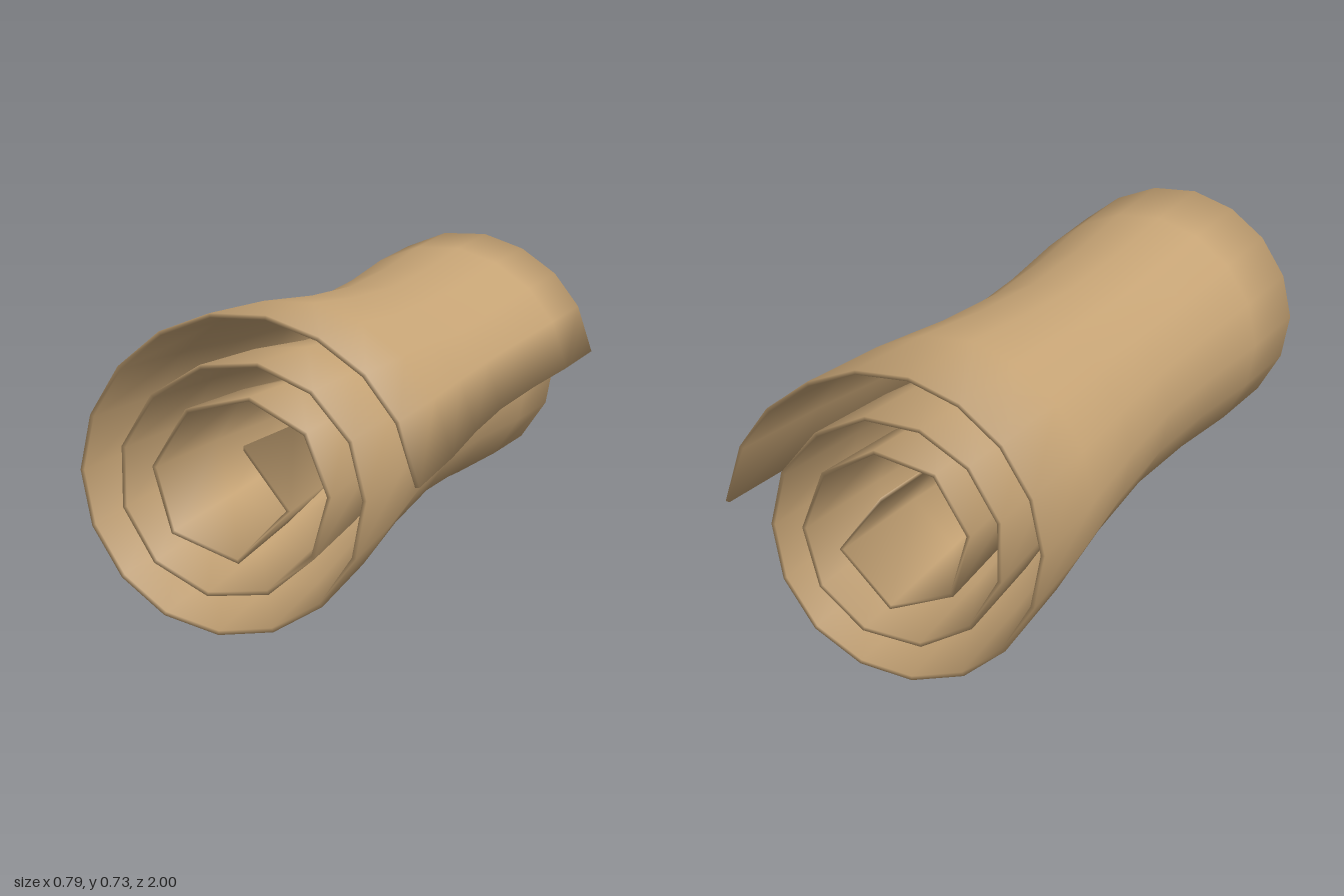
import * as THREE from 'three';

// Outer outline of the rolled sheet at its rims, from the loose edge inwards.
const SPIRAL = [
  [0.395, 0.37], [0.35, 0.51], [0.275, 0.61], [0.17, 0.685], [0.05, 0.727], [-0.08, 0.727],
  [-0.2, 0.682], [-0.3, 0.6], [-0.37, 0.487], [-0.397, 0.36], [-0.372, 0.232], [-0.302, 0.117],
  [-0.2, 0.037], [-0.07, 0.002], [0.06, 0.02], [0.175, 0.088], [0.252, 0.2], [0.277, 0.332],
  [0.245, 0.462], [0.155, 0.568], [0.03, 0.623], [-0.105, 0.612], [-0.222, 0.54], [-0.295, 0.42],
  [-0.295, 0.28], [-0.222, 0.157], [-0.095, 0.09], [0.05, 0.105], [0.158, 0.195], [0.197, 0.335],
  [0.142, 0.475], [0.01, 0.547], [-0.14, 0.512], [-0.222, 0.378], [-0.178, 0.228], [-0.02, 0.17],
  [0.103, 0.297], [-0.005, 0.437],
].map(([x, y]) => new THREE.Vector2(x, y));

const ROWS = 7;          // rows along the length
const THICKNESS = 0.01;
const WAIST = 0.055;     // how far the middle is pinched inwards

// Direction of travel along the spiral at point i
function tangent(i) {
  const last = SPIRAL.length - 1;
  if (i === 0) return new THREE.Vector2(-0.15, 0.99);
  if (i === last) return new THREE.Vector2(-1, 0);
  return SPIRAL[i + 1].clone().sub(SPIRAL[i - 1]).normalize();
}

function sheetGeometry() {
  const positions = [], normals = [], indices = [];
  const ring = ROWS * 2, last = SPIRAL.length - 1;

  SPIRAL.forEach((p, i) => {
    const t = tangent(i);
    const inward = new THREE.Vector2(-t.y, t.x);
    for (let k = 0; k < ring; k++) {
      // outer skin runs front to back, inner skin returns to the front
      const outer = k < ROWS;
      const row = outer ? k : ring - 1 - k;
      const z = 1 - (2 * row) / (ROWS - 1);
      const depth = WAIST * (1 + Math.cos(Math.PI * z)) / 2 + (outer ? 0 : THICKNESS);
      positions.push(p.x + inward.x * depth, p.y + inward.y * depth, z);

      // smooth normals, rounded over the rims and the two long edges
      const slope = -WAIST * Math.PI / 2 * Math.sin(Math.PI * z);
      const n = new THREE.Vector3(-inward.x, -inward.y, slope).multiplyScalar(outer ? 1 : -1);
      if (row === 0) n.z += 1;
      if (row === ROWS - 1) n.z -= 1;
      const edge = i === 0 ? -1 : i === last ? 1 : 0;
      n.x += t.x * edge;
      n.y += t.y * edge;
      normals.push(...n.normalize().toArray());
    }
  });

  // skins and rims
  for (let i = 0; i < last; i++) {
    for (let k = 0; k < ring; k++) {
      const k2 = (k + 1) % ring;
      const a = i * ring + k, b = i * ring + k2;
      const c = b + ring, d = a + ring;
      indices.push(a, b, c, a, c, d);
    }
  }
  // long edges of the sheet
  for (let k = 0; k < ROWS - 1; k++) {
    const a = k, b = k + 1, c = ring - 2 - k, d = ring - 1 - k, o = last * ring;
    indices.push(a, c, b, a, d, c);
    indices.push(o + a, o + b, o + c, o + a, o + c, o + d);
  }

  const geometry = new THREE.BufferGeometry();
  geometry.setAttribute('position', new THREE.Float32BufferAttribute(positions, 3));
  geometry.setAttribute('normal', new THREE.Float32BufferAttribute(normals, 3));
  geometry.setIndex(indices);
  return geometry;
}

export function createModel() {
  const parchment = new THREE.MeshStandardMaterial({ color: 0xc4a274 });
  parchment.name = 'parchment';

  const sheet = new THREE.Mesh(sheetGeometry(), parchment);
  sheet.name = 'rolledSheet';

  const model = new THREE.Group();
  model.name = 'scroll';
  model.add(sheet);
  return model;
}
